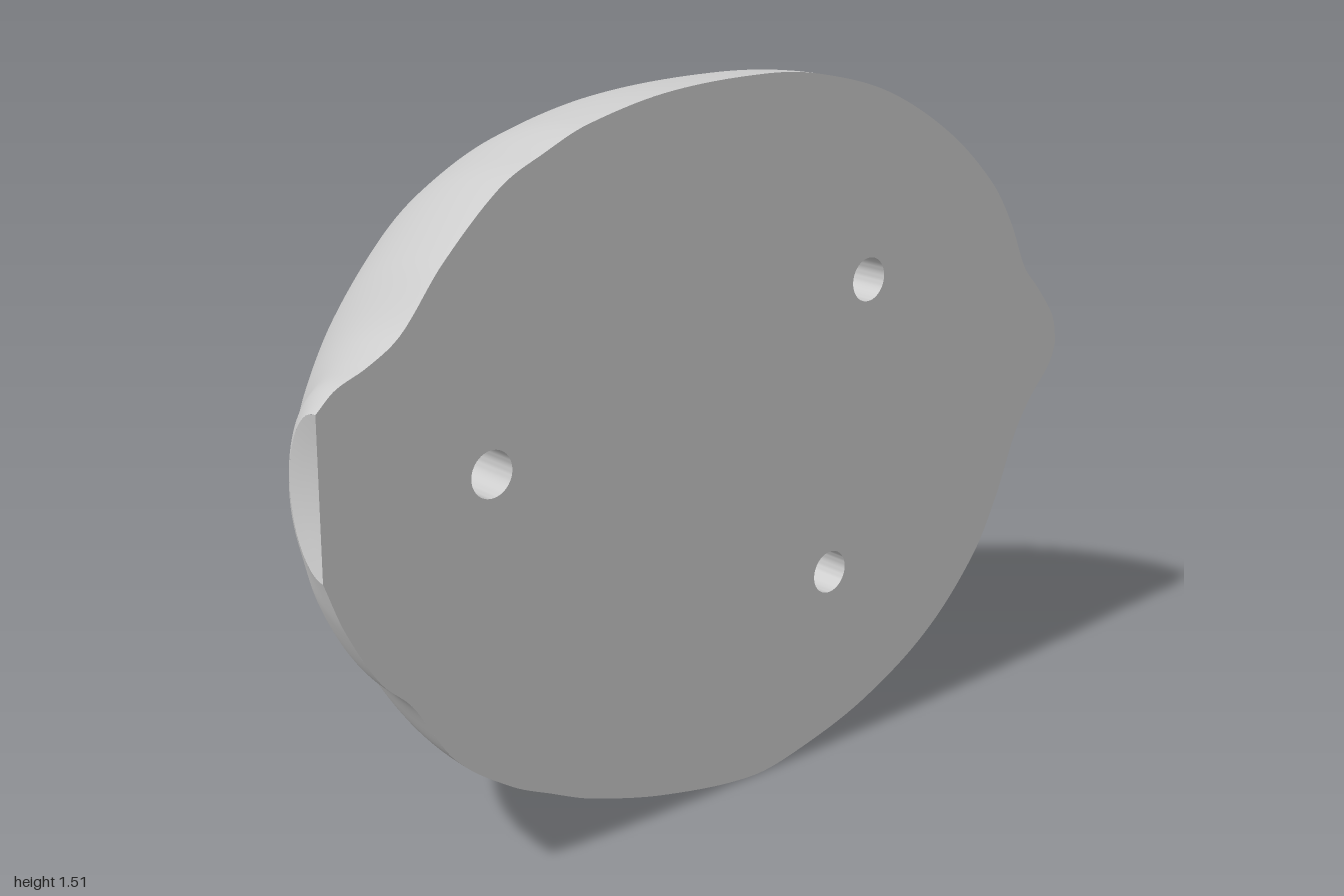
import * as THREE from 'three';
import { toCreasedNormals } from 'three/addons/utils/BufferGeometryUtils.js';

const FACE_Z = 0.385;
const RIM = 0.112;

// x, upper edge y, lower edge y, rear-most z
const SECTIONS = [
  [-1, 1.03, 0.72, 0.29], [-0.96, 1.065, 0.62, 0.22], [-0.89, 1.095, 0.5, 0.12],
  [-0.82, 1.14, 0.43, 0.01], [-0.73, 1.25, 0.295, -0.085], [-0.6, 1.37, 0.195, -0.18],
  [-0.5, 1.42, 0.145, -0.255], [-0.4, 1.46, 0.1, -0.3], [-0.2, 1.5, 0.04, -0.368],
  [0.05, 1.51, 0, -0.388], [0.2, 1.495, 0.02, -0.375], [0.4, 1.44, 0.08, -0.31],
  [0.6, 1.33, 0.19, -0.18], [0.75, 1.2, 0.34, 0], [0.82, 1.1, 0.47, 0.12],
  [0.87, 1.0, 0.6, 0.215], [0.92, 0.945, 0.68, 0.265], [0.97, 0.885, 0.735, 0.32],
  [0.99, 0.85, 0.765, 0.35], [1, 0.8, 0.8, 0.385],
];

// Screw holes: centre and depth of the shoulder
const HOLES = [
  { x: 0.36, y: 1.05, seat: -0.11 },
  { x: -0.63, y: 0.84, seat: 0.02 },
  { x: 0.27, y: 0.415, seat: -0.09 },
];

// Smooth interpolation of one column of the section table
function sample(x, col) {
  const S = SECTIONS, last = S.length - 1;
  let i = 0;
  while (i < last - 1 && x > S[i + 1][0]) i++;
  const slope = (k) => {
    const a = S[Math.max(k - 1, 0)], b = S[Math.min(k + 1, last)];
    return (b[col] - a[col]) / (b[0] - a[0]);
  };
  const w = S[i + 1][0] - S[i][0];
  const t = THREE.MathUtils.clamp((x - S[i][0]) / w, 0, 1);
  const t2 = t * t, t3 = t2 * t;
  return (2 * t3 - 3 * t2 + 1) * S[i][col] + (t3 - 2 * t2 + t) * w * slope(i)
    + (3 * t2 - 2 * t3) * S[i + 1][col] + (t3 - t2) * w * slope(i + 1);
}

// Height of the rind behind a point of the flat face
function rindZ(x, y) {
  const top = sample(x, 1), bottom = sample(x, 2);
  const half = Math.max((top - bottom) / 2, 1e-5);
  const s = THREE.MathUtils.clamp((y - (top + bottom) / 2) / half, -1, 1);
  // shallow crease beside the stem
  const crease = 0.12 * Math.exp(-(((x + 0.9) / 0.08) ** 2) - (((y - 0.72) / 0.05) ** 2));
  return FACE_Z - (FACE_Z - sample(x, 3)) * Math.sqrt(1 - s * s) * (1 - crease);
}

// Grid surface; point(i, j) gives [x, y, z, dropped]
function gridGeometry(nu, nv, point) {
  const positions = [], dropped = [], index = [];
  for (let i = 0; i <= nu; i++) {
    for (let j = 0; j <= nv; j++) {
      const [x, y, z, drop] = point(i, j);
      positions.push(x, y, z);
      dropped.push(!!drop);
    }
  }
  const tri = (a, b, c) => {
    if (!(dropped[a] && dropped[b] && dropped[c])) index.push(a, b, c);
  };
  for (let i = 0; i < nu; i++) {
    for (let j = 0; j < nv; j++) {
      const a = i * (nv + 1) + j, b = a + nv + 1;
      tri(a, b, a + 1);
      tri(b, b + 1, a + 1);
    }
  }
  const g = new THREE.BufferGeometry();
  g.setAttribute('position', new THREE.Float32BufferAttribute(positions, 3));
  g.setIndex(index);
  g.computeVertexNormals();
  return g;
}

// Domed rind, with grid points snapped onto the hole rims
function rindGeometry() {
  const nu = 170, nv = 120;
  return gridGeometry(nu, nv, (i, j) => {
    let x = -Math.cos(Math.PI * i / nu) * 0.5 + (2 * i / nu - 1) * 0.5;
    const top = sample(x, 1), bottom = sample(x, 2);
    let y = (top + bottom) / 2 + (top - bottom) / 2 * Math.cos(Math.PI * j / nv);
    let inside = false;
    for (const h of HOLES) {
      const dx = x - h.x, dy = y - h.y, d = Math.hypot(dx, dy);
      if (d < RIM) {
        inside = true;
        const k = RIM / Math.max(d, 1e-6);
        x = h.x + dx * k;
        y = h.y + dy * k;
      }
    }
    return [x, y, rindZ(x, y), inside];
  });
}

// Blunt, slightly hollow stem end
function stemGeometry() {
  const n = 40, [x, top, bottom] = SECTIONS[0];
  const mid = (top + bottom) / 2;
  return gridGeometry(4, n, (i, j) => {
    const r = i / 4, y = mid + (top - bottom) / 2 * Math.cos(Math.PI * j / n);
    const z = rindZ(x, y);
    return [x + 0.015 * (1 - r * r), mid + (y - mid) * r, FACE_Z + (z - FACE_Z) * r];
  });
}

// Rounded rim, counterbore, countersunk shoulder and through shaft
function boreGeometry({ x: cx, y: cy, seat }) {
  const n = 48;
  const rows = [ // radius, offset from the rind (or null), fixed z
    [RIM + 0.004, 0.001], [0.104, 0.008], [0.097, 0.022], [0.092, 0.045],
    [0.092, null, seat], [0.072, null, seat], [0.047, null, seat + 0.03], [0.047, null, FACE_Z],
  ];
  const g = gridGeometry(rows.length - 1, n, (i, j) => {
    const [r, offset, z] = rows[i], a = 2 * Math.PI * j / n;
    const x = cx + r * Math.cos(a), y = cy + r * Math.sin(a);
    return [x, y, offset === null ? z : rindZ(x, y) + offset];
  });
  return toCreasedNormals(g, 0.6);
}

// Flat mounting face with the shaft openings
function faceGeometry() {
  const n = 120, upper = [], lower = [];
  for (let i = 0; i <= n; i++) {
    const x = -Math.cos(Math.PI * i / n) * 0.5 + (2 * i / n - 1) * 0.5;
    upper.push(new THREE.Vector2(x, sample(x, 1)));
    if (i < n) lower.push(new THREE.Vector2(x, sample(x, 2)));
  }
  const shape = new THREE.Shape([...lower, ...upper.reverse()]);
  for (const h of HOLES) {
    shape.holes.push(new THREE.Path().absarc(h.x, h.y, 0.047, 0, Math.PI * 2, true));
  }
  return new THREE.ShapeGeometry(shape, 24).translate(0, 0, FACE_Z);
}

export function createModel() {
  const group = new THREE.Group();
  group.name = 'halfLemonWallMount';
  const material = new THREE.MeshStandardMaterial({ color: 0xcccccc });
  const add = (name, geometry) => {
    const mesh = new THREE.Mesh(geometry, material);
    mesh.name = name;
    group.add(mesh);
  };
  add('rind', rindGeometry());
  add('stemEnd', stemGeometry());
  add('flatFace', faceGeometry());
  HOLES.forEach((hole, i) => add(`screwHole${i + 1}`, boreGeometry(hole)));
  return group;
}
